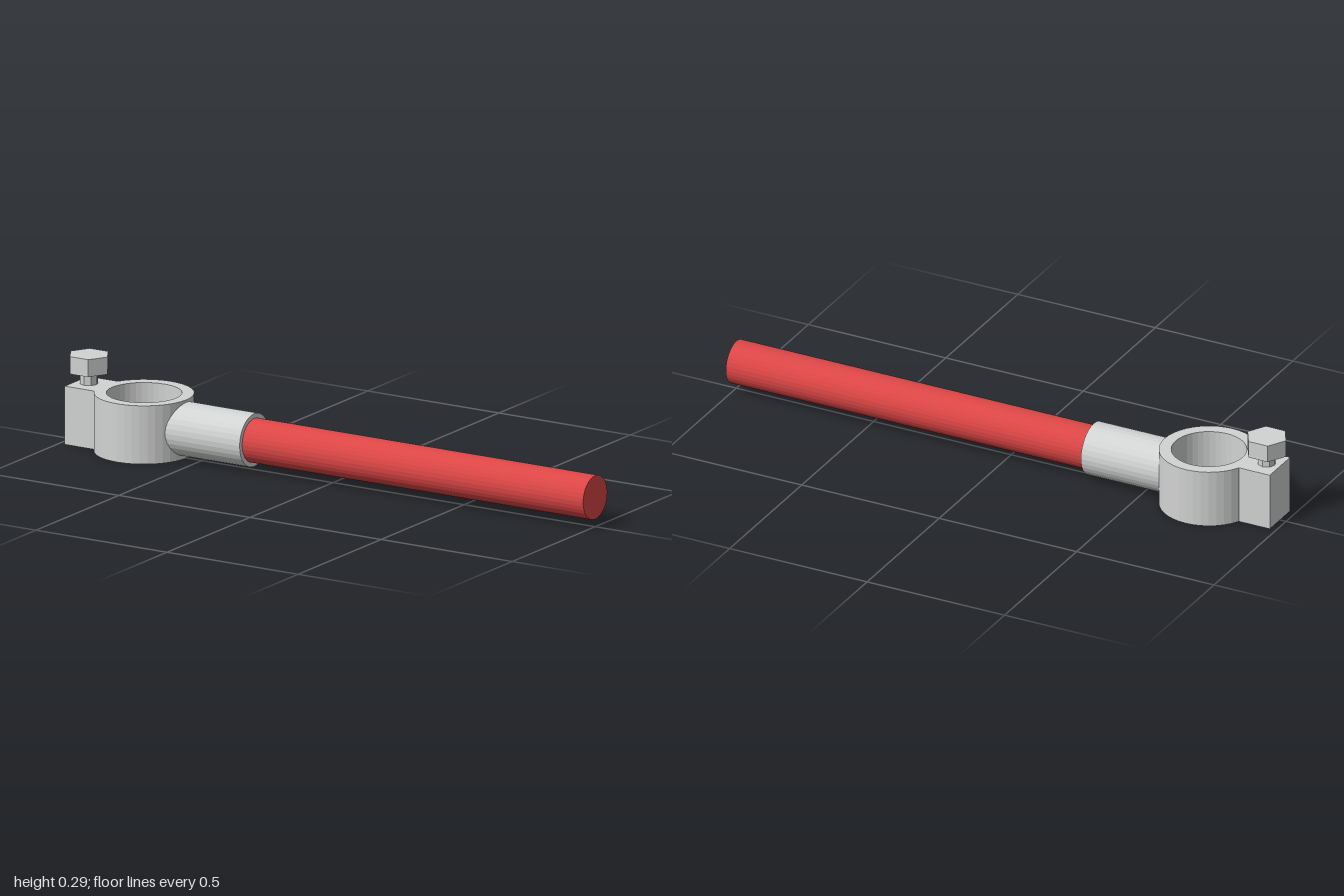
import * as THREE from 'three';

export function createModel() {
  const model = new THREE.Group();
  model.name = 'clampWithHandle';

  const metal = new THREE.MeshStandardMaterial({ color: 0xd2d3d3 });
  metal.name = 'light grey metal';
  metal.flatShading = true;
  const red = new THREE.MeshStandardMaterial({ color: 0xdc4646 });
  red.name = 'red';
  red.flatShading = true;

  const add = (name, geometry, material, x, y) => {
    const mesh = new THREE.Mesh(geometry, material);
    mesh.name = name;
    mesh.position.set(x, y, 0);
    model.add(mesh);
    return mesh;
  };

  // Round bar lying along x between two ends
  const bar = (name, radius, x0, x1, material) => {
    const geometry = new THREE.CylinderGeometry(radius, radius, x1 - x0, 32);
    geometry.rotateZ(-Math.PI / 2);
    return add(name, geometry, material, (x0 + x1) / 2, 0.098);
  };

  const height = 0.195;

  // Open clamp ring, turned from a closed rectangular section
  const section = [[0.162, 0], [0.162, height], [0.122, height], [0.122, 0], [0.162, 0]]
    .map(([r, y]) => new THREE.Vector2(r, y));
  add('clampRing', new THREE.LatheGeometry(section, 40), metal, -0.72, 0);

  // Lug on the outside of the ring
  add('clampLug', new THREE.BoxGeometry(0.13, height, 0.142), metal, -0.913, height / 2);

  // Clamping bolt: octagonal shank and hexagonal head
  add('boltShank', new THREE.CylinderGeometry(0.03, 0.03, 0.06, 8), metal, -0.93, 0.21);
  add('boltHead', new THREE.CylinderGeometry(0.07, 0.07, 0.058, 6, 1, false, Math.PI / 2),
    metal, -0.93, 0.264);

  // Sleeve joining the handle to the ring
  bar('sleeve', 0.0885, -0.595, -0.3, metal);
  bar('handle', 0.073, -0.4, 1, red);

  return model;
}
